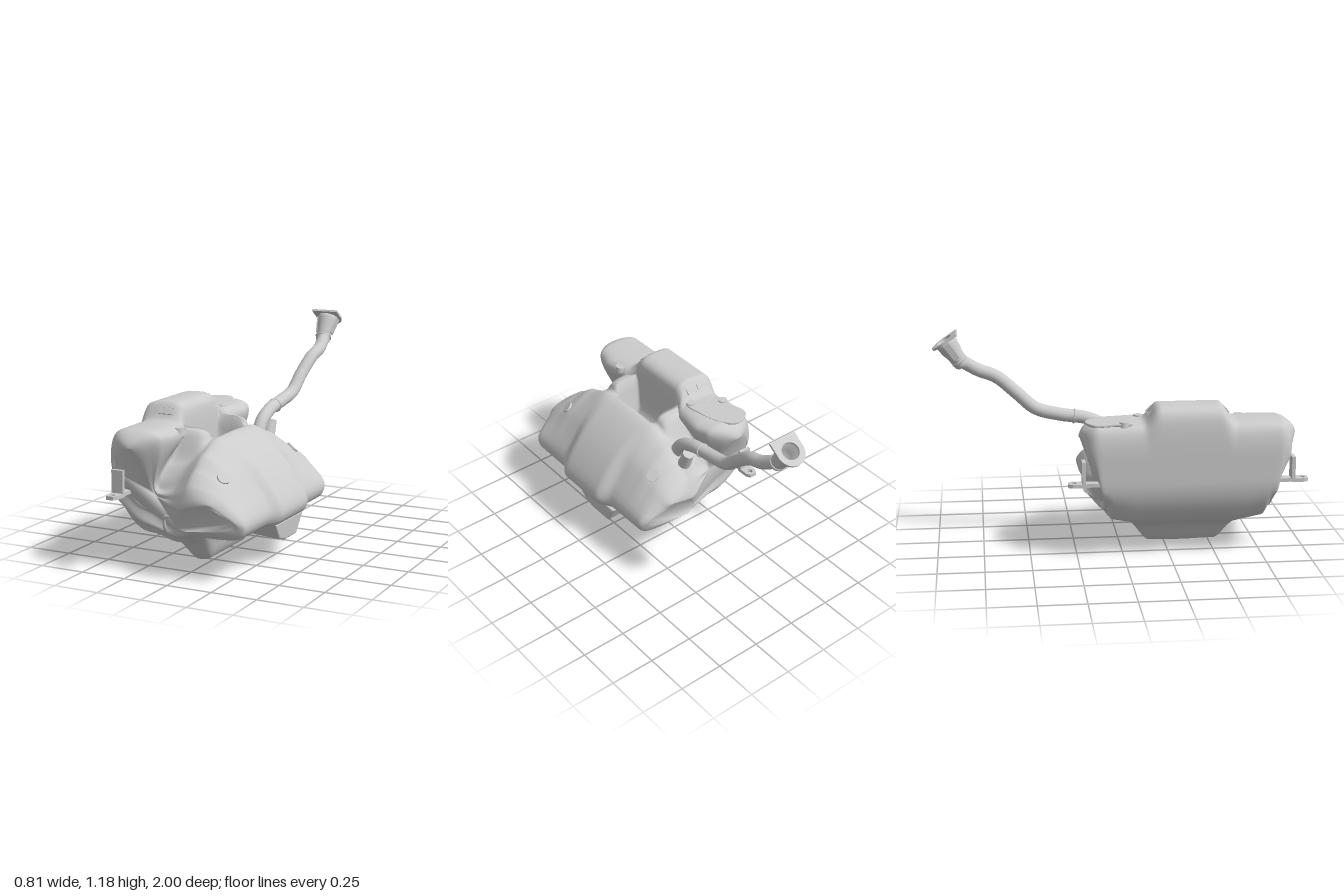
import * as THREE from 'three';

const mat = new THREE.MeshStandardMaterial({ color: 0xcccccc });
const matDouble = new THREE.MeshStandardMaterial({ color: 0xcccccc, side: THREE.DoubleSide });
const MID = 0.35; // the tank mirrors about this z
const HALF = 0.59; // half length of the tank

// eased interpolation through [position, value] keys
function ramp(d, keys) {
  for (let i = 1; i < keys.length; i++) {
    const [a, va] = keys[i - 1], [b, vb] = keys[i];
    if (d <= b) return va + (vb - va) * 0.5 * (THREE.MathUtils.smoothstep(d, a, b) + (d - a) / (b - a));
  }
  return keys[keys.length - 1][1];
}

// corner cutting on a closed loop of [x, y, z]
function roundLoop(pts) {
  const out = [];
  pts.forEach((p, i) => {
    const q = pts[(i + 1) % pts.length];
    for (const t of [0.25, 0.75]) out.push(p.map((v, k) => v + (q[k] - v) * t));
  });
  return out;
}

// tank cross-section at distance d from the middle
function tankSection(d, side) {
  const u = THREE.MathUtils.clamp((d - 0.49) / (HALF - 0.49), 0, 1);
  const round = 0.07 * (1 - Math.sqrt(1 - u * u)); // rounds over the ends
  const leftTop = ramp(d, [[0, 0.83], [0.17, 0.83], [0.24, 0.742], [0.5, 0.74], [HALF, 0.725]]) - round;
  const leftIn = ramp(d, [[0, -0.15], [0.19, -0.15], [0.25, -0.1], [0.4, -0.08], [0.5, -0.1], [HALF, -0.13]]) - round;
  const leftOut = -0.408 + round * 0.6;
  const leftLow = ramp(d, [[0, 0.165], [0.3, 0.165], [0.42, 0.185], [0.5, 0.24], [HALF, 0.33]]);
  const valley = ramp(d, [[0, 0.46], [0.155, 0.46], [0.18, 0.71], [0.24, 0.7], [0.33, 0.55], [0.45, 0.42], [HALF, 0.38]]);
  const shift = ramp(d, [[0, 0], [0.22, 0], [0.45, 1]]); // valley moves under the high lobe
  const top = ramp(d, [[0, 0.68], [0.2, 0.675], [0.35, 0.62], [0.45, 0.555], [0.53, 0.5], [HALF, 0.47]]) - round;
  const out = ramp(d, [[0, 0.412], [0.15, 0.412], [0.22, 0.368], [HALF, 0.365]]) - round * 0.7;
  const low = ramp(d, [[0, 0.215], [0.5, 0.215], [HALF, 0.23]]) + round * 0.6;
  const sump = ramp(d, [[0, -0.005], [0.19, 0], [0.31, 0.13], [0.42, 0.15], [0.5, 0.19], [HALF, 0.24]]);
  const pull = ramp(d, [[0, 0], [0.4, 0], [0.5, 0.045], [HALF, 0.12]]); // draws parts of the end faces inward
  const pts = [
    [leftOut + 0.05, leftLow + 0.07, 1], [leftOut, Math.max(0.36, leftLow + 0.09), 0.85], [leftOut, 0.5, 0.55],
    [leftOut, leftTop - 0.11, 0.35], [leftOut + 0.025, leftTop - 0.02, 0.3],
    [leftOut + 0.1, leftTop, 0], [leftIn - 0.03, leftTop - 0.003, 0.1],
    [leftIn, leftTop - 0.08, 0.5], [-0.145 - 0.065 * shift, valley, 1.4], [-0.01 - 0.08 * shift, valley, 0.9],
    [0.01, top - 0.025 - 0.02 * shift, 0.3], [0.06 + round, top, 0.15],
    [0.2, top + (0.32 - top) * 0.15 / (out - 0.05) + 0.055, 0.2],
    [out - 0.1, (top + 0.32 * 2) / 3 + 0.03, 0.35], [out, 0.32, 0.55], [out - 0.015, low + 0.03, 0.6],
    [out - 0.07, low, 0.5], [0.06, Math.min(low, 0.18 + d * 0.12), 0.4],
    [0.02, sump + 0.035 - d * 0.05, 0.6], [-0.03, sump, 0.9], [-0.1, sump, 1.2],
    [-0.18, Math.min(Math.max(leftLow - 0.04, sump + 0.03), valley - 0.06), 1.3], [-0.28, leftLow, 1.1],
  ].map(([x, y, w]) => [x, y, MID + side * (d - pull * w)]);
  return roundLoop(roundLoop(pts));
}

function tankGeometry() {
  const N = 48, rings = [];
  for (let k = -N; k <= N; k++) {
    rings.push(tankSection(HALF * Math.sin(Math.abs(k) / N * Math.PI / 2), k < 0 ? -1 : 1));
  }
  const n = rings[0].length, index = [];
  for (let j = 0; j < rings.length - 1; j++) {
    for (let i = 0; i < n; i++) {
      const a = j * n + i, b = j * n + (i + 1) % n;
      index.push(a, a + n, b, b, a + n, b + n);
    }
  }
  // end caps
  [[0, -1], [rings.length - 1, 1]].forEach(([j, dir]) => {
    const c = rings[j].map(([x, y]) => new THREE.Vector2(x, y));
    for (const [p, q, r] of THREE.ShapeUtils.triangulateShape(c.slice(), [])) {
      const area = c[q].clone().sub(c[p]).cross(c[r].clone().sub(c[p]));
      if (area * dir > 0) index.push(j * n + p, j * n + q, j * n + r);
      else index.push(j * n + p, j * n + r, j * n + q);
    }
  });
  const g = new THREE.BufferGeometry();
  g.setAttribute('position', new THREE.Float32BufferAttribute(rings.flat(2), 3));
  g.setIndex(index);
  g.computeVertexNormals();
  return g;
}

const vec2s = (points) => points.map((p) => new THREE.Vector2(...p));
const curve = (points) => new THREE.CatmullRomCurve3(points.map((p) => new THREE.Vector3(...p)));

function extrude(shape, depth, bevel = 0) {
  return new THREE.ExtrudeGeometry(shape, {
    depth, bevelEnabled: bevel > 0, bevelSize: bevel, bevelThickness: bevel, bevelSegments: 3, curveSegments: 16,
  });
}

export function createModel() {
  const model = new THREE.Group();
  const add = (name, geo, pos = [0, 0, 0], rot = [0, 0, 0], parent = model, m = mat) => {
    const mesh = new THREE.Mesh(geo, m);
    mesh.name = name;
    mesh.position.set(...pos);
    mesh.rotation.set(...rot);
    parent.add(mesh);
  };

  add('tankBody', tankGeometry());

  // shield under the low lobe
  const shield = new THREE.Shape(vec2s([[-0.16, 0.235], [-0.1, 0.16], [-0.03, 0.14], [0.1, 0.14], [0.16, 0.235]]));
  add('underShield', extrude(shield, 0.265, 0.012).rotateY(Math.PI / 2), [0.05, -0.005, 0.295], [0, 0, -0.08]);

  // mounting brackets on both ends
  for (const s of [-1, 1]) {
    const bracket = new THREE.Group();
    bracket.name = s > 0 ? 'frontBracket' : 'rearBracket';
    bracket.position.set(-0.327, 0, MID + s * 0.575);
    add('bracketPlate', new THREE.BoxGeometry(0.066, 0.14, 0.02), [0, 0.465, -s * 0.01], [0, 0, 0], bracket);
    add('bracketArm', new THREE.BoxGeometry(0.05, 0.02, 0.1), [0, 0.405, -s * 0.05], [0, 0, 0], bracket);
    const lug = new THREE.Shape(vec2s([[-0.033, 0], [0.033, 0], [0.033, 0.05], [0.02, 0.073], [-0.02, 0.073], [-0.033, 0.05]]));
    lug.holes.push(new THREE.Path().absarc(0, 0.043, 0.014, 0, Math.PI * 2, true));
    add('bracketLug', extrude(lug, 0.02), [0, s > 0 ? 0.415 : 0.395, 0], [s * Math.PI / 2, 0, 0], bracket);
    model.add(bracket);

    // window frames on the slopes of the raised top
    const frame = new THREE.Shape(vec2s([[-0.04, -0.022], [0.04, -0.022], [0.04, 0.022], [-0.04, 0.022]]));
    frame.holes.push(new THREE.Path(vec2s([[-0.034, -0.017], [-0.034, 0.017], [0.034, 0.017], [0.034, -0.017]])));
    add('windowFrame', extrude(frame, 0.01), [-0.245, 0.781, MID + s * 0.2], [s > 0 ? -0.75 : -Math.PI + 0.75, 0, 0]);

    // round pads on the low lobe
    add('roundPad', new THREE.CylinderGeometry(0.034, 0.036, 0.03, 28), [0.19, 0.506, MID + s * 0.402], [s * 0.5, 0, -0.6]);
  }

  // hook beside the lower seam
  const hook = curve([[-0.12, 0.21, 0.8], [-0.1, 0.24, 0.84], [-0.09, 0.3, 0.86], [-0.055, 0.312, 0.87]]);
  add('seamHook', new THREE.TubeGeometry(hook, 16, 0.009, 8));

  // pump cover and its fittings
  const outline = curve([[-0.37, 0.16, 0], [-0.28, 0.2, 0], [-0.21, 0.13, 0], [-0.18, 0.03, 0], [-0.17, -0.1, 0],
    [-0.22, -0.07, 0], [-0.28, -0.03, 0], [-0.35, -0.04, 0], [-0.36, 0.06, 0]]);
  outline.closed = true;
  const cover = new THREE.Shape(outline.getPoints(48).map((p) => new THREE.Vector2(p.x, p.y)));
  add('pumpCover', extrude(cover, 0.006, 0.005), [0, 0.732, 0], [-Math.PI / 2, 0, 0]);
  for (const [x, y, z, r] of [[-0.345, 0.735, 0, 0.028], [-0.19, 0.735, 0.09, 0.028], [-0.12, 0.71, 0.65, 0.03]]) {
    add('topFitting', new THREE.CylinderGeometry(r * 0.9, r, 0.03, 24), [x, y, z]);
  }

  // filler pipe
  const path = curve([[0, 0.54, 0.0], [0, 0.64, -0.07], [0.0, 0.69, -0.17], [0.0, 0.715, -0.32],
    [0.01, 0.75, -0.45], [0.018, 0.835, -0.55], [0.035, 0.925, -0.66], [0.042, 0.965, -0.76], [0.03, 1.03, -0.865]]);
  add('fillerPipe', new THREE.TubeGeometry(path, 80, 0.036, 20));
  add('ventNub', new THREE.CylinderGeometry(0.032, 0.036, 0.1, 20), [0.02, 0.59, -0.13], [-0.4, 0, 0]);
  add('pipeCollar', new THREE.TorusGeometry(0.035, 0.006, 10, 28), [0, 0.702, -0.24], [0.15, 0, 0]);

  // filler neck with its flange
  const neck = new THREE.Group();
  neck.name = 'fillerNeck';
  neck.position.set(0.025, 1.125, -0.93);
  neck.rotation.x = -0.607;
  const cup = vec2s([[0.03, -0.165], [0.042, -0.15], [0.045, -0.09], [0.053, -0.06], [0.058, -0.02], [0.06, 0],
    [0.05, 0], [0.046, -0.03], [0.03, -0.045], [0.028, -0.09], [0, -0.09]]);
  add('neckCup', new THREE.LatheGeometry(cup, 32), [0, 0, 0], [0, 0, 0], neck, matDouble);
  const flange = new THREE.Shape();
  flange.moveTo(-0.08, -0.078);
  flange.lineTo(0.08, -0.078);
  flange.lineTo(0.08, 0.01);
  flange.absarc(0, 0, 0.08, 0.12, Math.PI - 0.12, false);
  flange.holes.push(new THREE.Path().absellipse(0, 0, 0.05, 0.046, 0, Math.PI * 2, true));
  add('neckFlange', extrude(flange, 0.012), [0, 0, 0], [-Math.PI / 2, 0, 0], neck);
  for (const s of [-1, 1]) add('neckRib', new THREE.BoxGeometry(0.012, 0.1, 0.035), [s * 0.052, -0.055, 0], [0, 0, -s * 0.18], neck);
  add('neckRing', new THREE.TorusGeometry(0.043, 0.005, 10, 28), [0, -0.13, 0], [Math.PI / 2, 0, 0], neck);
  model.add(neck);

  return model;
}
